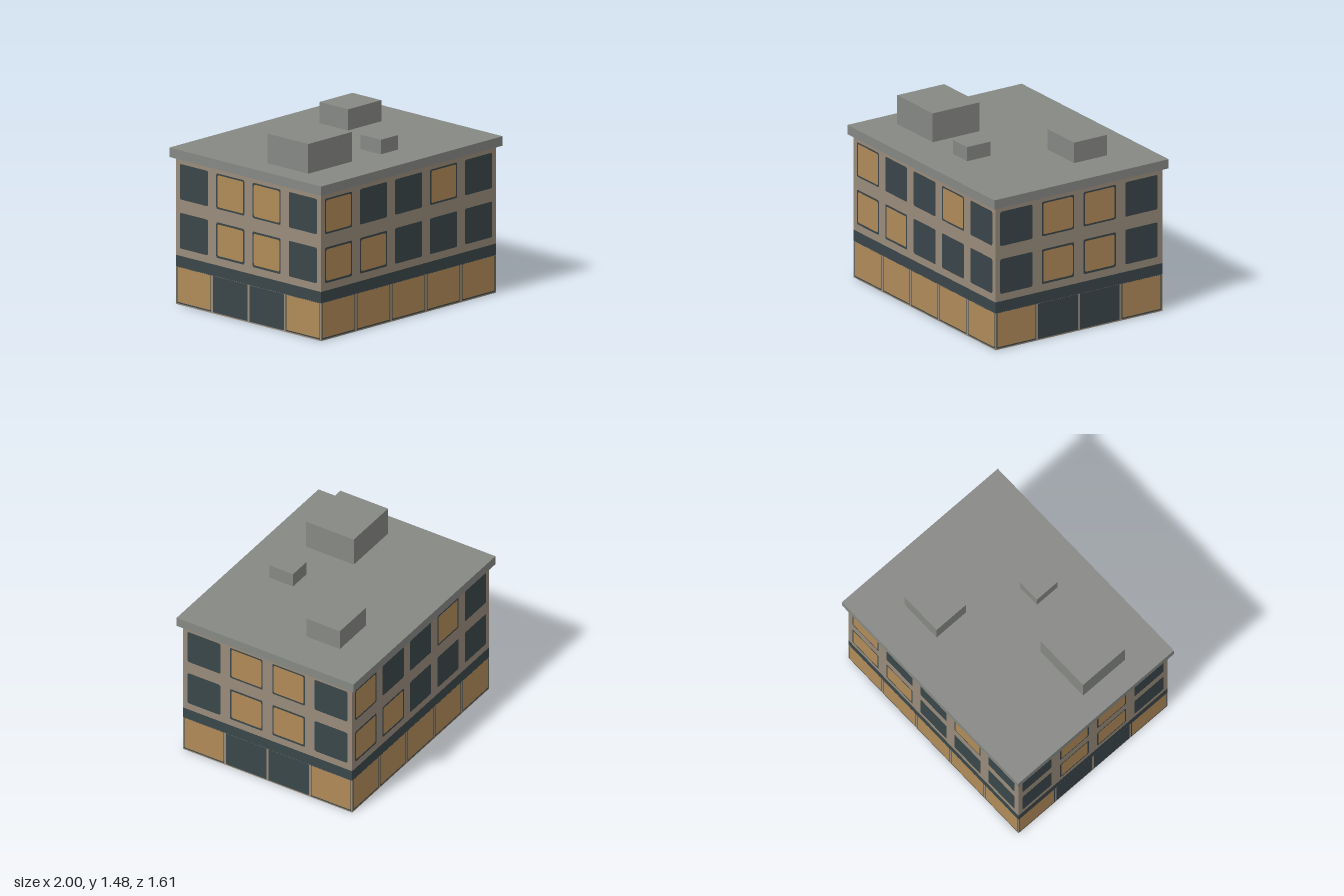
import * as THREE from 'three';

const mat = (name, color, side = THREE.DoubleSide) => {
  const m = new THREE.MeshStandardMaterial({ color, side });
  m.name = name;
  return m;
};

// Rectangle with rounded corners
function roundedRect(x0, y0, x1, y1, r) {
  const s = new THREE.Shape();
  s.moveTo(x0 + r, y0);
  s.lineTo(x1 - r, y0);
  s.quadraticCurveTo(x1, y0, x1, y0 + r);
  s.lineTo(x1, y1 - r);
  s.quadraticCurveTo(x1, y1, x1 - r, y1);
  s.lineTo(x0 + r, y1);
  s.quadraticCurveTo(x0, y1, x0, y1 - r);
  s.lineTo(x0, y0 + r);
  s.quadraticCurveTo(x0, y0, x0 + r, y0);
  return s;
}

function rect(x0, y0, x1, y1) {
  return new THREE.Shape([[x0, y0], [x1, y0], [x1, y1], [x0, y1]].map(p => new THREE.Vector2(...p)));
}

export function createModel() {
  const stone = mat('stone', 0x988b7a);
  const slate = mat('darkSlate', 0x3a464a);
  const amber = mat('litAmber', 0xb08a58);
  const roofGrey = mat('roofGrey', 0x868884, THREE.FrontSide);

  const W = 1.93, D = 1.54, H = 1.165, SHOP = 0.3, BAND = 0.39;
  const building = new THREE.Group();
  building.name = 'building';

  // One open-backed wall; '1' marks a lit opening, strings run left to right
  function makeWall(name, width, topRow, lowRow, shopRow) {
    const wall = new THREE.Group();
    wall.name = name;
    const upper = rect(-width / 2, BAND, width / 2, H);
    const lower = rect(-width / 2, 0, width / 2, SHOP);
    const frames = [], panes = [];

    const opening = (host, box, inner, r, lit) => {
      const frame = roundedRect(...box, r);
      host.holes.push(roundedRect(...box, r));
      if (lit) {
        frame.holes.push(roundedRect(...inner, r));
        panes.push(roundedRect(...inner, r));
      }
      frames.push(frame);
    };

    const row = (pattern, build) => [...pattern].forEach((c, i) =>
      build((i - (pattern.length - 1) / 2) * width / pattern.length, c === '1'));

    // Two storeys of windows
    row(topRow, (x, lit) => opening(upper, [x - 0.149, 0.838, x + 0.149, 1.119],
      [x - 0.136, 0.852, x + 0.136, 1.106], 0.016, lit));
    row(lowRow, (x, lit) => opening(upper, [x - 0.149, 0.449, x + 0.149, 0.732],
      [x - 0.136, 0.466, x + 0.136, 0.716], 0.016, lit));
    // Shop fronts
    row(shopRow, (x, lit) => opening(lower, [x - 0.183, 0.01, x + 0.183, 0.2985],
      [x - 0.176, 0.02, x + 0.176, 0.297], 0.006, lit));

    const add = (part, shapes, material) => {
      const mesh = new THREE.Mesh(new THREE.ShapeGeometry(shapes, 4), material);
      mesh.name = part;
      wall.add(mesh);
    };
    add('masonry', [upper, lower], stone);
    add('signBand', rect(-width / 2, SHOP, width / 2, BAND), slate);
    add('windowFrames', frames, slate);
    add('litPanes', panes, amber);
    building.add(wall);
    return wall;
  }

  // Opposite walls share a layout
  for (const [i, label] of ['front', 'right', 'back', 'left'].entries()) {
    const wide = i % 2 === 0;
    const wall = wide
      ? makeWall(label + 'Wall', W, '10010', '11000', '11111')
      : makeWall(label + 'Wall', D, '0110', '0110', '1001');
    const angle = i * Math.PI / 2;
    const dist = (wide ? D : W) / 2;
    wall.rotation.y = angle;
    wall.position.set(Math.sin(angle) * dist, 0, Math.cos(angle) * dist);
  }

  // Overhanging roof slab and rooftop units
  function block(name, x0, x1, y0, y1, z0, z1) {
    const mesh = new THREE.Mesh(new THREE.BoxGeometry(x1 - x0, y1 - y0, z1 - z0), roofGrey);
    mesh.position.set((x0 + x1) / 2, (y0 + y1) / 2, (z0 + z1) / 2);
    mesh.name = name;
    building.add(mesh);
  }
  block('roofSlab', -1, 1, H, 1.24, -0.805, 0.805);
  block('stairHousing', -0.803, -0.32, 1.24, 1.475, 0.045, 0.478);
  block('plantRoom', 0.3, 0.665, 1.24, 1.407, -0.465, -0.16);
  block('ventBox', -0.02, 0.172, 1.24, 1.355, 0.28, 0.494);

  return building;
}
